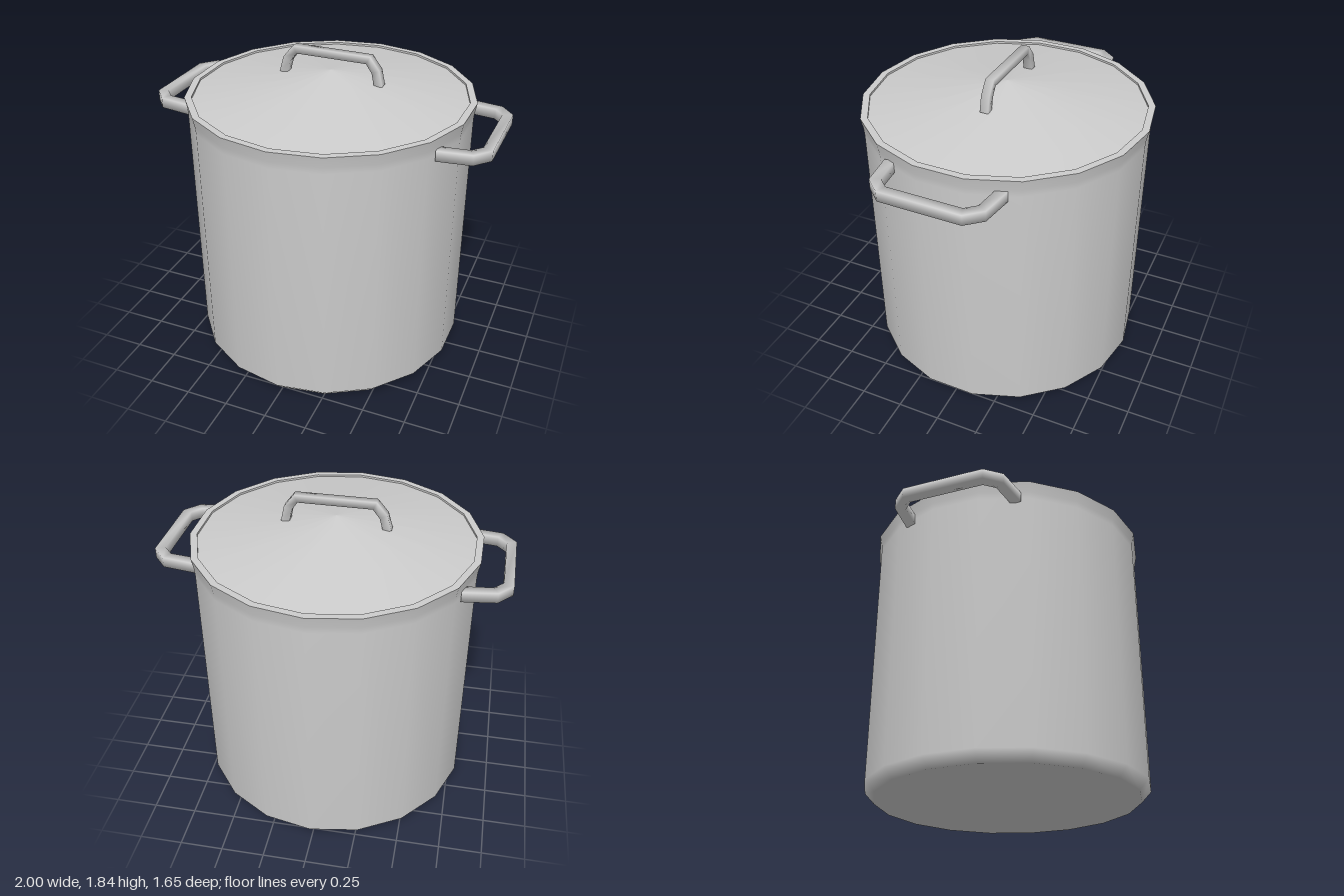
import * as THREE from 'three';
import { mergeGeometries } from 'three/addons/utils/BufferGeometryUtils.js';

const SIDES = 18;
const material = new THREE.MeshStandardMaterial({ color: 0xcccccc });

// Straight-segment path with mitred corners; one tube ring per point
class BentPath extends THREE.Curve {
  constructor(points) {
    super();
    this.points = points;
  }
  getPointAt(t) {
    return this.points[Math.round(t * (this.points.length - 1))].clone();
  }
  getTangentAt(t) {
    const p = this.points, i = Math.round(t * (p.length - 1));
    const dir = new THREE.Vector3();
    if (i > 0) dir.add(p[i].clone().sub(p[i - 1]).normalize());
    if (i < p.length - 1) dir.add(p[i + 1].clone().sub(p[i]).normalize());
    return dir.normalize();
  }
  // Eighth turn, so the square section lies flat
  computeFrenetFrames(segments, closed) {
    const frames = super.computeFrenetFrames(segments, closed);
    frames.tangents.forEach((t, i) => {
      frames.normals[i].applyAxisAngle(t, Math.PI / 4);
      frames.binormals[i].applyAxisAngle(t, Math.PI / 4);
    });
    return frames;
  }
}

// Bent bar of square section with soft shading and closed ends
function bar(name, coords, width) {
  const pts = coords.map(c => new THREE.Vector3(...c));
  const radius = width / Math.SQRT2, last = pts.length - 1;
  const tube = new THREE.TubeGeometry(new BentPath(pts), last, radius, 4, false);
  const cap = (x, y, z, at) => new THREE.CircleGeometry(radius, 4)
    .applyMatrix4(new THREE.Matrix4().makeBasis(x, y, z).setPosition(at));
  const { tangents: t, normals: n, binormals: b } = tube;
  const mesh = new THREE.Mesh(mergeGeometries([
    tube,
    cap(b[0], n[0], t[0].clone().negate(), pts[0]),
    cap(n[last], b[last], t[last], pts[last]),
  ]), material);
  mesh.name = name;
  return mesh;
}

// Turned part; a repeated profile point makes a crisp edge
function turned(name, profile) {
  const pts = profile.map(p => new THREE.Vector2(...p));
  const mesh = new THREE.Mesh(new THREE.LatheGeometry(pts, SIDES), material);
  mesh.name = name;
  return mesh;
}

export function createModel() {
  const model = new THREE.Group();
  model.name = 'stockPot';

  // Pot: chamfered base, straight wall, flared rim, hollow inside
  model.add(turned('pot', [
    [0, 0], [0.755, 0], [0.81, 0.06], [0.81, 1.5], [0.813, 1.54], [0.825, 1.6],
    [0.825, 1.6], [0.785, 1.6], [0.785, 1.6], [0.785, 1.5], [0.77, 0.06],
    [0.77, 0.06], [0, 0.05],
  ]));

  // Lid: hollow underside, tapered plug edge, shallow cone on top
  model.add(turned('lid', [
    [0, 1.608], [0.12, 1.605], [0.3, 1.585], [0.5, 1.545], [0.67, 1.49],
    [0.67, 1.49], [0.785, 1.588], [0.785, 1.588], [0, 1.725],
  ]));

  // Lid handle
  const lidHandle = bar('lidHandle', [
    [-0.288, 1.67, 0], [-0.265, 1.755, 0], [-0.215, 1.817, 0],
    [0.225, 1.817, 0], [0.27, 1.755, 0], [0.288, 1.67, 0],
  ], 0.048);
  lidHandle.position.z = -0.006;
  model.add(lidHandle);

  // Side handles
  for (const [name, s] of [['leftHandle', 1], ['rightHandle', -1]]) {
    const handle = bar(name, [
      [0.725, 1.5, -0.322], [0.905, 1.5, -0.298], [0.97, 1.5, -0.225],
      [0.97, 1.5, 0.225], [0.905, 1.5, 0.298], [0.725, 1.5, 0.322],
    ].map(([x, y, z]) => [s * x, y, s * z]), 0.06);
    handle.position.z = 0.01;
    model.add(handle);
  }

  // Whole pot is turned very slightly
  model.rotation.y = -0.013;
  return model;
}
